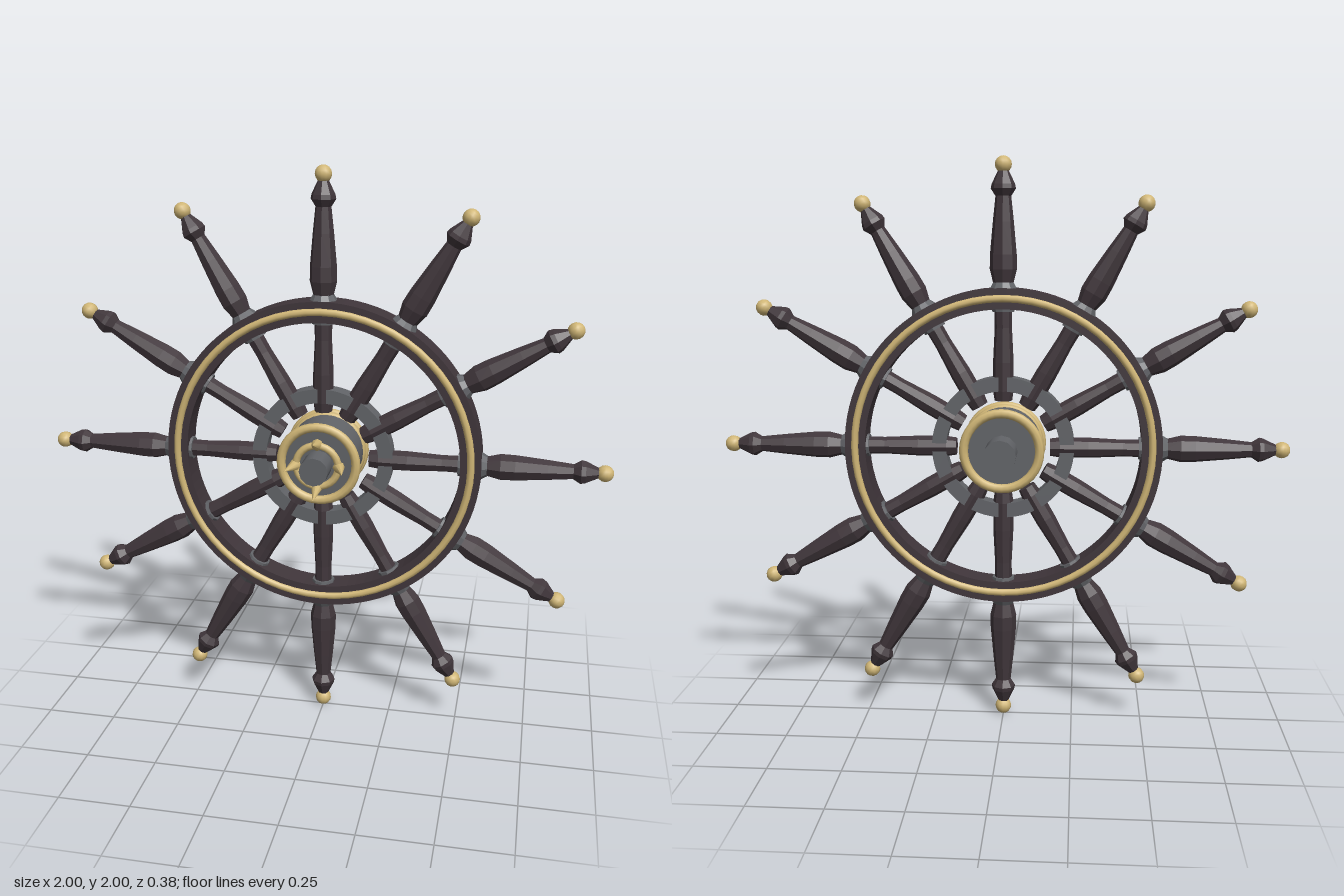
import * as THREE from 'three';

const wood = new THREE.MeshStandardMaterial({ color: 0x40363b });
wood.name = 'darkWood';
const iron = new THREE.MeshStandardMaterial({ color: 0x626468 });
iron.name = 'greyIron';
const brass = new THREE.MeshStandardMaterial({ color: 0xd0b676 });
brass.name = 'brass';

function add(parent, name, geometry, material, x = 0, y = 0, z = 0) {
  const mesh = new THREE.Mesh(geometry, material);
  mesh.name = name;
  mesh.position.set(x, y, z);
  parent.add(mesh);
  return mesh;
}

// faceted turned part, profile given as [radius, height] pairs
function turned(profile, sides) {
  const points = profile.map(([r, h]) => new THREE.Vector2(r, h));
  const g = new THREE.LatheGeometry(points, sides).toNonIndexed();
  g.computeVertexNormals();
  return g;
}

// flat ring with a rectangular section, centred on z = 0
function band(inner, outer, depth, segments) {
  const shape = new THREE.Shape().absarc(0, 0, outer, 0, Math.PI * 2);
  shape.holes.push(new THREE.Path().absarc(0, 0, inner, 0, Math.PI * 2, true));
  const g = new THREE.ExtrudeGeometry(shape, { depth, bevelEnabled: false, curveSegments: segments });
  return g.translate(0, 0, -depth / 2);
}

// cylinder lying along z, from z0 to z1
function axle(radius, z0, z1, sides) {
  return new THREE.CylinderGeometry(radius, radius, z1 - z0, sides)
    .rotateX(Math.PI / 2).translate(0, 0, (z0 + z1) / 2);
}

export function createModel() {
  const model = new THREE.Group();
  model.name = 'shipWheel';
  const wheel = new THREE.Group();
  wheel.name = 'wheel';
  wheel.position.y = 1;
  model.add(wheel);

  // rim and the ring that ties the spokes together
  add(wheel, 'rim', band(0.485, 0.557, 0.096, 48), wood);
  add(wheel, 'spokeRing', band(0.2, 0.25, 0.06, 36), iron);

  // twelve spokes with handles, collars and end balls
  const spokeGeo = turned([[0, 0.165], [0.031, 0.165], [0.036, 0.2], [0.036, 0.3], [0.03, 0.42],
    [0.032, 0.56], [0.047, 0.62], [0.046, 0.67], [0.036, 0.78], [0.027, 0.865],
    [0.043, 0.89], [0.04, 0.905], [0.018, 0.95], [0, 0.95]], 8);
  const collarGeo = turned([[0.03, 0.475], [0.04, 0.475], [0.047, 0.53], [0.047, 0.556],
    [0.036, 0.575], [0.02, 0.575]], 10);
  const ballGeo = new THREE.SphereGeometry(0.029, 12, 8);
  for (let i = 0; i < 12; i++) {
    const spoke = new THREE.Group();
    spoke.name = 'spoke' + (i + 1);
    spoke.rotation.z = (i * Math.PI) / 6;
    add(spoke, 'handle', spokeGeo, wood);
    add(spoke, 'collar', collarGeo, iron);
    add(spoke, 'endBall', ballGeo, brass, 0, 0.97, 0);
    wheel.add(spoke);
  }

  // hub drum and axle
  add(wheel, 'hubDrum', axle(0.132, -0.092, 0.092, 32), iron);
  add(wheel, 'rearAxle', axle(0.056, -0.192, -0.09, 12), iron);
  add(wheel, 'frontAxle', axle(0.05, 0.09, 0.182, 12), iron);

  // brass trim on both sides
  for (const side of [1, -1]) {
    add(wheel, 'rimTrim', new THREE.TorusGeometry(0.522, 0.013, 8, 64), brass, 0, 0, side * 0.047);
    add(wheel, 'hubTrimInner', new THREE.TorusGeometry(0.127, 0.013, 8, 36), brass, 0, 0, side * 0.071);
    add(wheel, 'hubTrimOuter', new THREE.TorusGeometry(0.132, 0.016, 8, 36), brass, 0, 0, side * 0.092);
  }

  // crown of four claws on the front of the hub
  add(wheel, 'crownRing', new THREE.TorusGeometry(0.074, 0.013, 8, 28), brass, 0, 0, 0.115);
  const axis = new THREE.Vector3(0, 0.025, 0.08);
  const clawGeo = new THREE.ConeGeometry(0.021, axis.length(), 8);
  for (let i = 0; i < 4; i++) {
    const arm = new THREE.Group();
    arm.name = 'claw' + (i + 1);
    arm.rotation.z = (i * Math.PI) / 2;
    const claw = add(arm, 'clawTip', clawGeo, brass, 0, 0.088, 0.152);
    claw.quaternion.setFromUnitVectors(new THREE.Vector3(0, 1, 0), axis.clone().normalize());
    wheel.add(arm);
  }
  return model;
}
